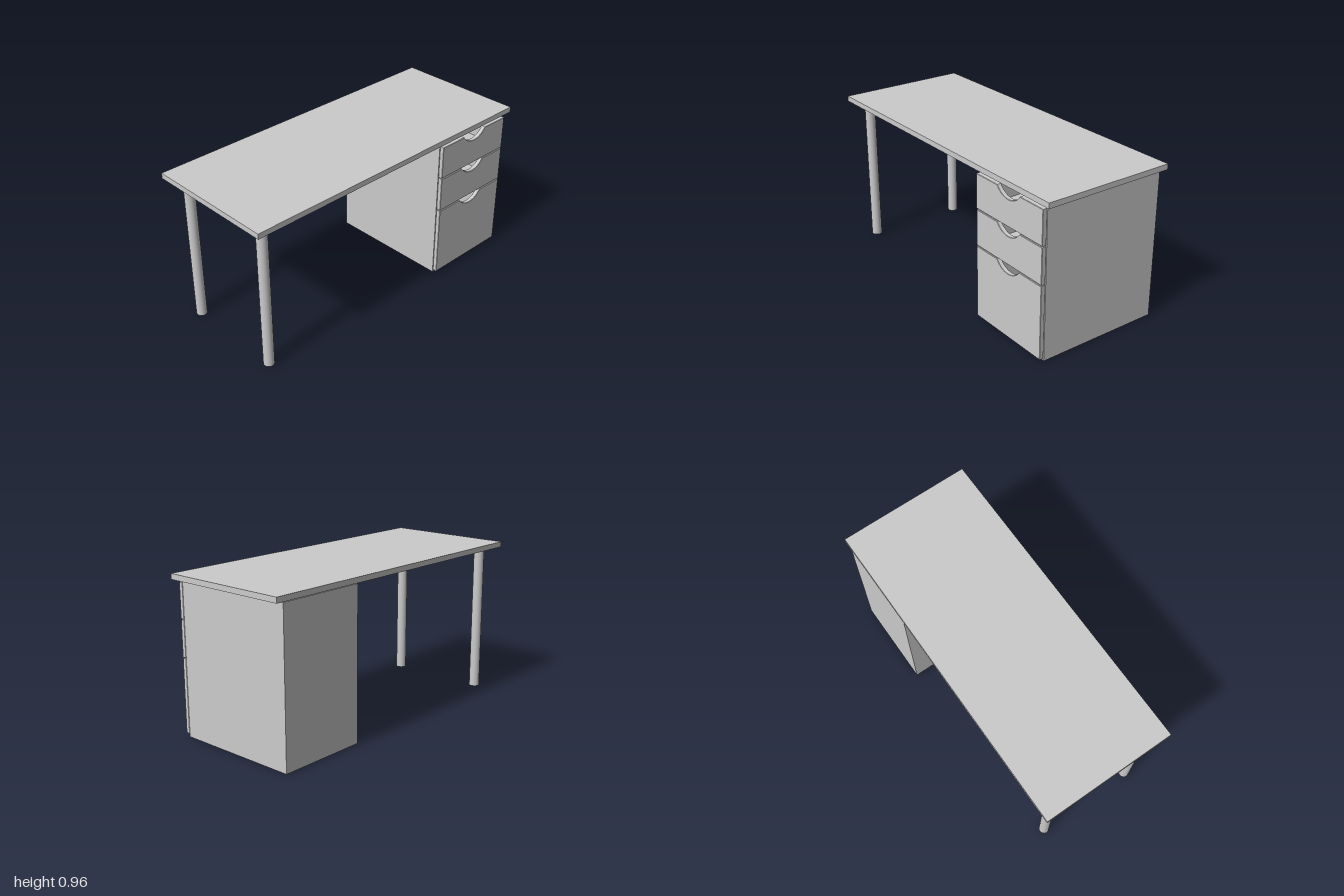
import * as THREE from 'three';

const material = new THREE.MeshStandardMaterial({ color: 0xcccccc });

function add(parent, name, geometry, x = 0, y = 0, z = 0) {
  const mesh = new THREE.Mesh(geometry, material);
  mesh.name = name;
  mesh.position.set(x, y, z);
  parent.add(mesh);
  return mesh;
}

// Box given by its lower and upper limits on each axis
function slab(parent, name, [x0, x1], [y0, y1], [z0, z1]) {
  return add(parent, name, new THREE.BoxGeometry(x1 - x0, y1 - y0, z1 - z0),
    (x0 + x1) / 2, (y0 + y1) / 2, (z0 + z1) / 2);
}

// Drawer front with a shallow circular finger cut-out in its top edge
function drawerFront(width, height, depth) {
  const halfChord = 0.095, dip = 0.05;
  const radius = (halfChord ** 2 + dip ** 2) / (2 * dip);
  const a = Math.asin(halfChord / radius);
  const w = width / 2;
  const shape = new THREE.Shape();
  shape.moveTo(-w, 0);
  shape.lineTo(w, 0);
  shape.lineTo(w, height);
  shape.lineTo(halfChord, height);
  shape.absarc(0, height + radius - dip, radius, -Math.PI / 2 + a, -Math.PI / 2 - a, true);
  shape.lineTo(-w, height);
  shape.closePath();
  const bevel = 0.002;
  const geometry = new THREE.ExtrudeGeometry(shape, {
    depth: depth - 2 * bevel, curveSegments: 24,
    bevelThickness: bevel, bevelSize: bevel, bevelOffset: -bevel, bevelSegments: 1,
  });
  return geometry.translate(0, 0, bevel);
}

export function createModel() {
  const desk = new THREE.Group();
  desk.name = 'desk';

  slab(desk, 'tabletop', [-1, 1], [0.927, 0.96], [-0.41, 0.41]);

  // Two round legs on the open side
  const legHeight = 0.927;
  for (const [name, z] of [['frontLeg', 0.31], ['backLeg', -0.31]]) {
    add(desk, name, new THREE.CylinderGeometry(0.032, 0.032, legHeight, 32), -0.9, legHeight / 2, z);
  }

  // Cabinet shell, open at the front
  const cabinet = new THREE.Group();
  cabinet.name = 'cabinet';
  desk.add(cabinet);
  const x0 = 0.39, x1 = 0.95, y0 = 0.003, y1 = 0.923, z0 = -0.405, z1 = 0.375, t = 0.018;
  slab(cabinet, 'cabinetRightSide', [x0, x0 + t], [y0, y1], [z0, z1]);
  slab(cabinet, 'cabinetLeftSide', [x1 - t, x1], [y0, y1], [z0, z1]);
  slab(cabinet, 'cabinetBottom', [x0 + t, x1 - t], [y0, y0 + t], [z0, z1]);
  slab(cabinet, 'cabinetTop', [x0 + t, x1 - t], [y1 - t, y1], [z0, z1]);
  slab(cabinet, 'cabinetBack', [x0 + t, x1 - t], [y0 + t, y1 - t], [z0, z0 + t]);

  // Drawers: a front panel and an open tray behind it
  const drawers = [['topDrawer', 0.698, 0.905], ['middleDrawer', 0.474, 0.692], ['bottomDrawer', 0.022, 0.468]];
  for (const [name, low, high] of drawers) {
    const drawer = new THREE.Group();
    drawer.name = name;
    cabinet.add(drawer);
    add(drawer, 'drawerFront', drawerFront(x1 - x0, high - low, 0.027), (x0 + x1) / 2, low, 0.378);

    const left = x0 + t + 0.006, right = x1 - t - 0.006, wall = 0.012;
    const floor = low + 0.012, rim = high - 0.055, back = z0 + t + 0.03, front = 0.378;
    slab(drawer, 'drawerFloor', [left, right], [floor, floor + wall], [back, front]);
    slab(drawer, 'drawerRightWall', [left, left + wall], [floor + wall, rim], [back, front]);
    slab(drawer, 'drawerLeftWall', [right - wall, right], [floor + wall, rim], [back, front]);
    slab(drawer, 'drawerBackWall', [left + wall, right - wall], [floor + wall, rim], [back, back + wall]);
  }

  return desk;
}
